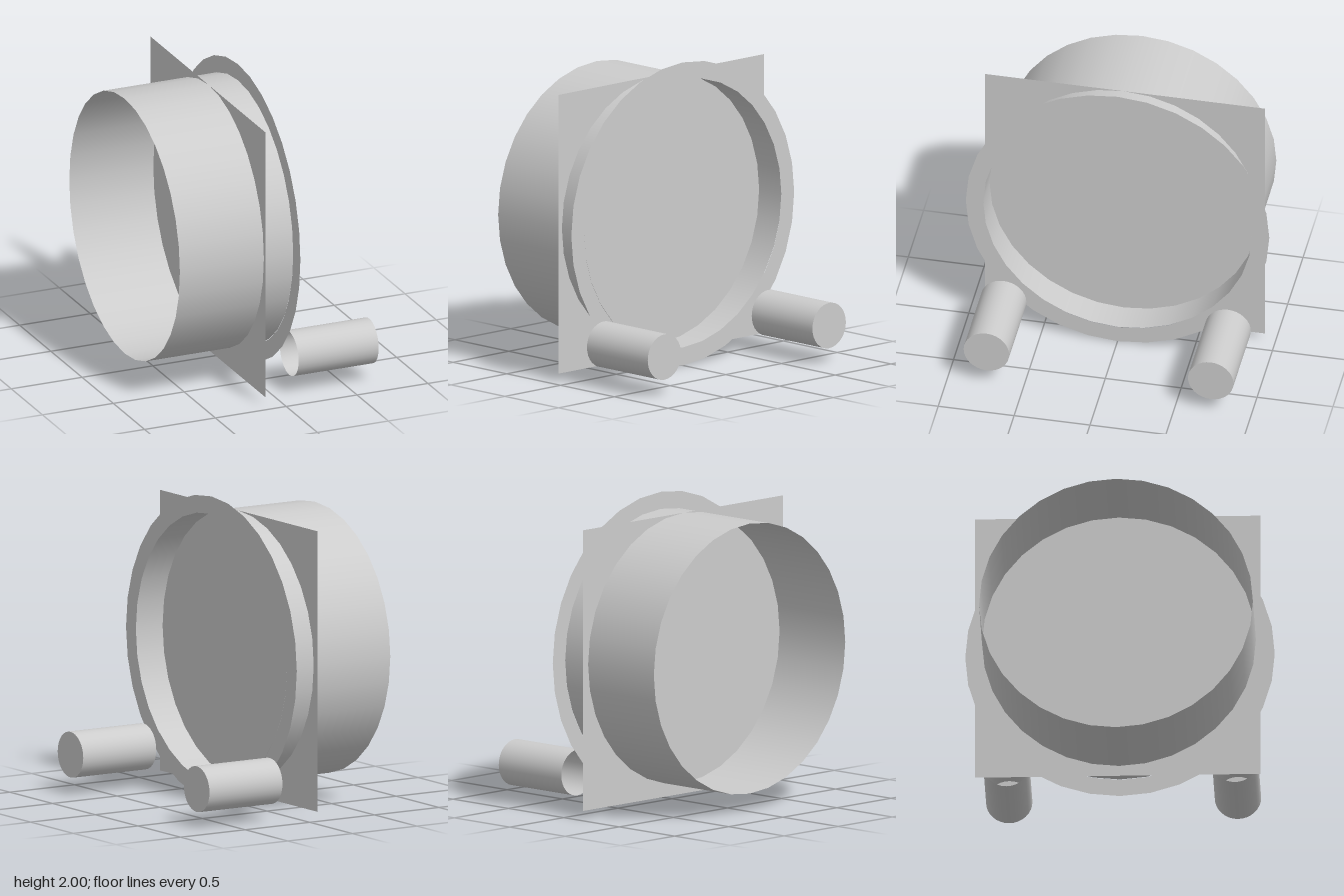
import * as THREE from 'three';

const SIDES = 32;

export function createModel() {
  const model = new THREE.Group();
  const grey = new THREE.MeshStandardMaterial({ color: 0xcccccc, side: THREE.DoubleSide });
  grey.name = 'light grey';

  // Everything is laid out along the x axis.
  function add(name, geometry, x, y, z) {
    const mesh = new THREE.Mesh(geometry, grey);
    mesh.name = name;
    mesh.position.set(x, y, z);
    model.add(mesh);
    return mesh;
  }
  // Turns a flat shape drawn in xy so that it faces +x
  const facing = (geometry) => geometry.rotateY(Math.PI / 2);
  const tube = (radius, length) =>
    new THREE.CylinderGeometry(radius, radius, length, SIDES, 1, true).rotateZ(-Math.PI / 2);
  const disc = (radius) => facing(new THREE.CircleGeometry(radius, SIDES));

  // Open housing with a flat rim at its front end
  add('housing', tube(0.885, 0.8), -0.3, 1.003, 0);
  add('rim', facing(new THREE.RingGeometry(0.885, 1, SIDES)), 0.1, 1, 0);

  // Square mounting plate crossing the housing
  add('mountingPlate', facing(new THREE.PlaneGeometry(1.845, 1.84)), -0.107, 0.968, -0.008);

  // Dial face and its centre
  add('dial', disc(0.83), -0.088, 0.97, 0);
  add('dialCentre', disc(0.527), -0.084, 0.973, 0);

  // Flared index mark at the top of the dial
  const mark = new THREE.Shape([
    [-0.02, 1.565], [0.02, 1.565], [0.02, 1.74], [0.07, 1.8], [-0.07, 1.8], [-0.02, 1.74],
  ].map(([u, v]) => new THREE.Vector2(u, v)));
  add('indexMark', facing(new THREE.ShapeGeometry(mark)), -0.04, 0, 0);

  // Two knobs, closed at the front and open at the back
  for (const [side, y, z] of [['right', 0.255, 0.743], ['left', 0.247, -0.735]]) {
    add(side + 'Knob', tube(0.15, 0.565), 0.4175, y, z);
    add(side + 'KnobCap', disc(0.15), 0.7, y, z);
  }
  return model;
}
